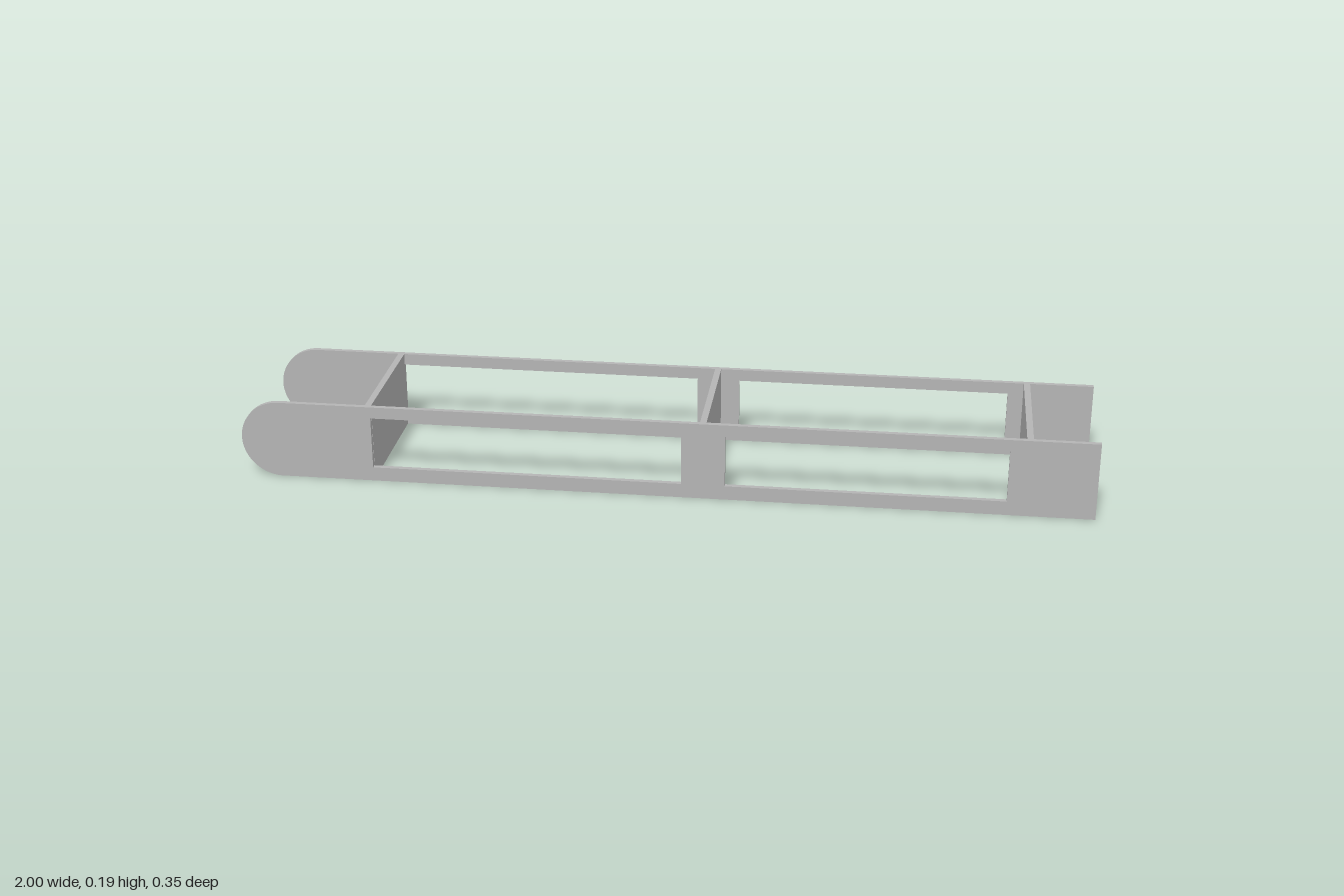
import * as THREE from 'three';

const HEIGHT = 0.188, PLATE = 0.012, HALF_WIDTH = 0.175;

// Long side plate: rounded at one end, square at the other, with two windows
function sidePlateGeometry() {
  const r = HEIGHT / 2;
  const shape = new THREE.Shape();
  shape.moveTo(-1 + r, 0);
  shape.lineTo(1, 0);
  shape.lineTo(1, HEIGHT);
  shape.lineTo(-1 + r, HEIGHT);
  shape.absarc(-1 + r, r, r, Math.PI / 2, Math.PI * 1.5, false);
  for (const [x0, x1] of [[-0.685, 0.048], [0.15, 0.798]]) {
    const hole = new THREE.Path();
    hole.moveTo(x0, 0.034);
    hole.lineTo(x0, 0.16);
    hole.lineTo(x1, 0.16);
    hole.lineTo(x1, 0.034);
    hole.closePath();
    shape.holes.push(hole);
  }
  return new THREE.ExtrudeGeometry(shape, { depth: PLATE, bevelEnabled: false, curveSegments: 32 });
}

export function createModel() {
  const group = new THREE.Group();
  group.name = 'ladderFrame';
  const grey = new THREE.MeshStandardMaterial({ color: 0xb4b4b4 });
  grey.name = 'plainGrey';

  // Two parallel side plates
  const plate = sidePlateGeometry();
  for (const [name, z] of [['frontSidePlate', HALF_WIDTH - PLATE], ['backSidePlate', -HALF_WIDTH]]) {
    const mesh = new THREE.Mesh(plate, grey);
    mesh.name = name;
    mesh.position.z = z;
    group.add(mesh);
  }

  // Full-height cross panels between the plates
  const panel = new THREE.BoxGeometry(0.015, HEIGHT, 2 * (HALF_WIDTH - PLATE));
  [-0.692, 0.098, 0.842].forEach((x, i) => {
    const mesh = new THREE.Mesh(panel, grey);
    mesh.name = `crossPanel${i + 1}`;
    mesh.position.set(x, HEIGHT / 2, 0);
    group.add(mesh);
  });
  return group;
}
